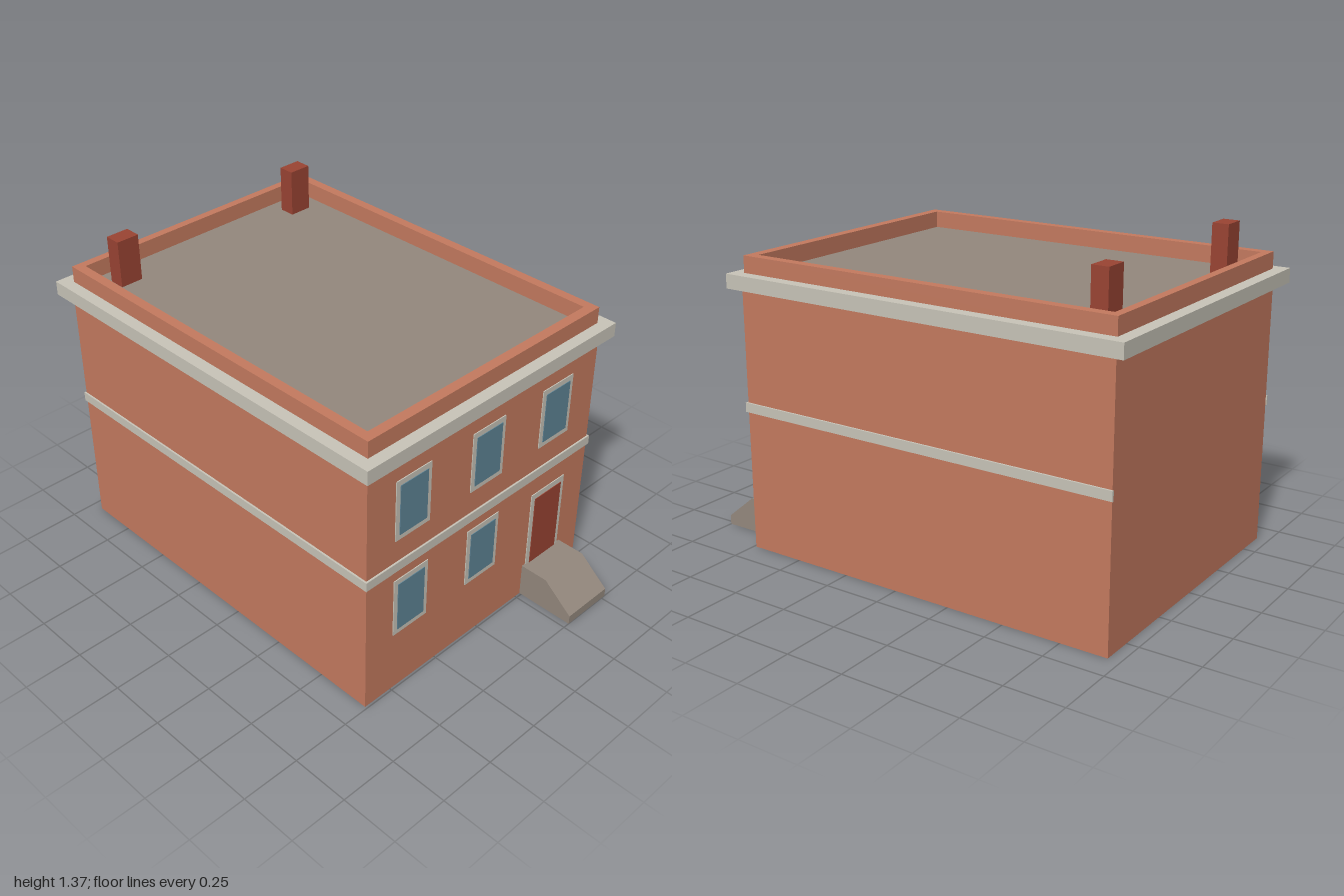
import * as THREE from 'three';

const mat = (name, color, side = THREE.FrontSide) => {
  const m = new THREE.MeshStandardMaterial({ color, side });
  m.name = name;
  return m;
};

export function createModel() {
  const house = new THREE.Group();
  house.name = 'townhouse';

  const brick = mat('brick', 0xc47a5f, THREE.DoubleSide);
  const stone = mat('paleStone', 0xc8c4b8);
  const slab = mat('greyStone', 0x94887d, THREE.DoubleSide);
  const red = mat('darkRed', 0x9a4433);
  const glass = mat('blueGlass', 0x5f8496);

  const add = (name, geometry, material) => {
    const mesh = new THREE.Mesh(geometry, material);
    mesh.name = name;
    house.add(mesh);
    return mesh;
  };

  // Box given by its limits on each axis
  const box = (x0, x1, y0, y1, z0, z1) =>
    new THREE.BoxGeometry(x1 - x0, y1 - y0, z1 - z0)
      .translate((x0 + x1) / 2, (y0 + y1) / 2, (z0 + z1) / 2);

  // Removes the triangles whose normal passes the test, leaving an open shell
  const dropFaces = (geometry, test) => {
    const src = geometry.index ? geometry.toNonIndexed() : geometry;
    const pos = src.attributes.position, nor = src.attributes.normal;
    const kept = [];
    for (let i = 0; i < pos.count; i += 3) {
      if (!test(nor.getY(i), nor.getZ(i))) kept.push(i, i + 1, i + 2);
    }
    src.setIndex(kept);
    src.clearGroups();
    return src;
  };

  // Horizontal rectangular ring: outer and inner limits, bottom and top
  const ring = (ox, oz0, oz1, ix, iz0, iz1, y0, y1) => {
    const rect = (C, x, z0, z1) => new C([
      new THREE.Vector2(-x, -z1), new THREE.Vector2(x, -z1),
      new THREE.Vector2(x, -z0), new THREE.Vector2(-x, -z0),
    ]);
    const shape = rect(THREE.Shape, ox, oz0, oz1);
    shape.holes.push(rect(THREE.Path, ix, iz0, iz1));
    return new THREE.ExtrudeGeometry(shape, { depth: y1 - y0, bevelEnabled: false })
      .rotateX(-Math.PI / 2).translate(0, y0, 0);
  };

  const W = 0.635, BACK = -0.949, FRONT = 0.74;

  // Walls, open below and above
  add('walls', dropFaces(box(-W, W, 0, 1.12, BACK, FRONT), (ny) => Math.abs(ny) > 0.9), brick);

  // Cornice, flat roof and parapet
  add('cornice', ring(0.678, -1, 0.783, 0.62, -0.935, 0.725, 1.11, 1.17), stone);
  add('roof', new THREE.PlaneGeometry(1.25, 1.67).rotateX(-Math.PI / 2)
    .translate(0, 1.168, -0.105), slab);
  add('parapet', ring(0.627, -0.947, 0.733, 0.586, -0.912, 0.69, 1.169, 1.24), brick);

  // Belt course across the front and both sides
  add('frontBand', box(-0.643, 0.643, 0.595, 0.635, FRONT, 0.748), stone);
  for (const s of [-1, 1]) {
    add(s > 0 ? 'leftBand' : 'rightBand',
      box(-0.004, 0.004, 0.595, 0.635, -0.954, FRONT).translate(s * 0.639, 0, 0), stone);
    add(s > 0 ? 'leftChimney' : 'rightChimney',
      box(-0.05, 0.05, 1.169, 1.37, -0.845, -0.775).translate(s * 0.464, 0, 0), red);
  }

  // Windows: thin frame plate with a pane on it
  const addWindow = (x, y) => {
    add('windowFrame', box(x - 0.09, x + 0.09, y, y + 0.268, FRONT, FRONT + 0.004), stone);
    add('windowPane', box(x - 0.071, x + 0.071, y + 0.023, y + 0.245, FRONT + 0.001, FRONT + 0.007), glass);
  };
  for (const x of [-0.403, 0, 0.4]) addWindow(x, 0.736);
  for (const x of [-0.403, 0]) addWindow(x, 0.278);

  // Door
  add('doorFrame', box(0.298, 0.502, 0.14, 0.508, FRONT, FRONT + 0.004), stone);
  add('door', box(0.319, 0.482, 0.14, 0.482, FRONT + 0.001, FRONT + 0.007), red);

  // Sloped stoop, open underneath and against the wall
  const profile = new THREE.Shape([[-1, 0], [-FRONT, 0], [-FRONT, 0.15], [-0.865, 0.15], [-1, 0.04]]
    .map(([u, y]) => new THREE.Vector2(u, y)));
  const stoop = new THREE.ExtrudeGeometry(profile, { depth: 0.24, bevelEnabled: false })
    .rotateY(Math.PI / 2).translate(0.28, 0, 0);
  add('stoop', dropFaces(stoop, (ny, nz) => ny < -0.9 || nz < -0.9), slab);

  return house;
}
